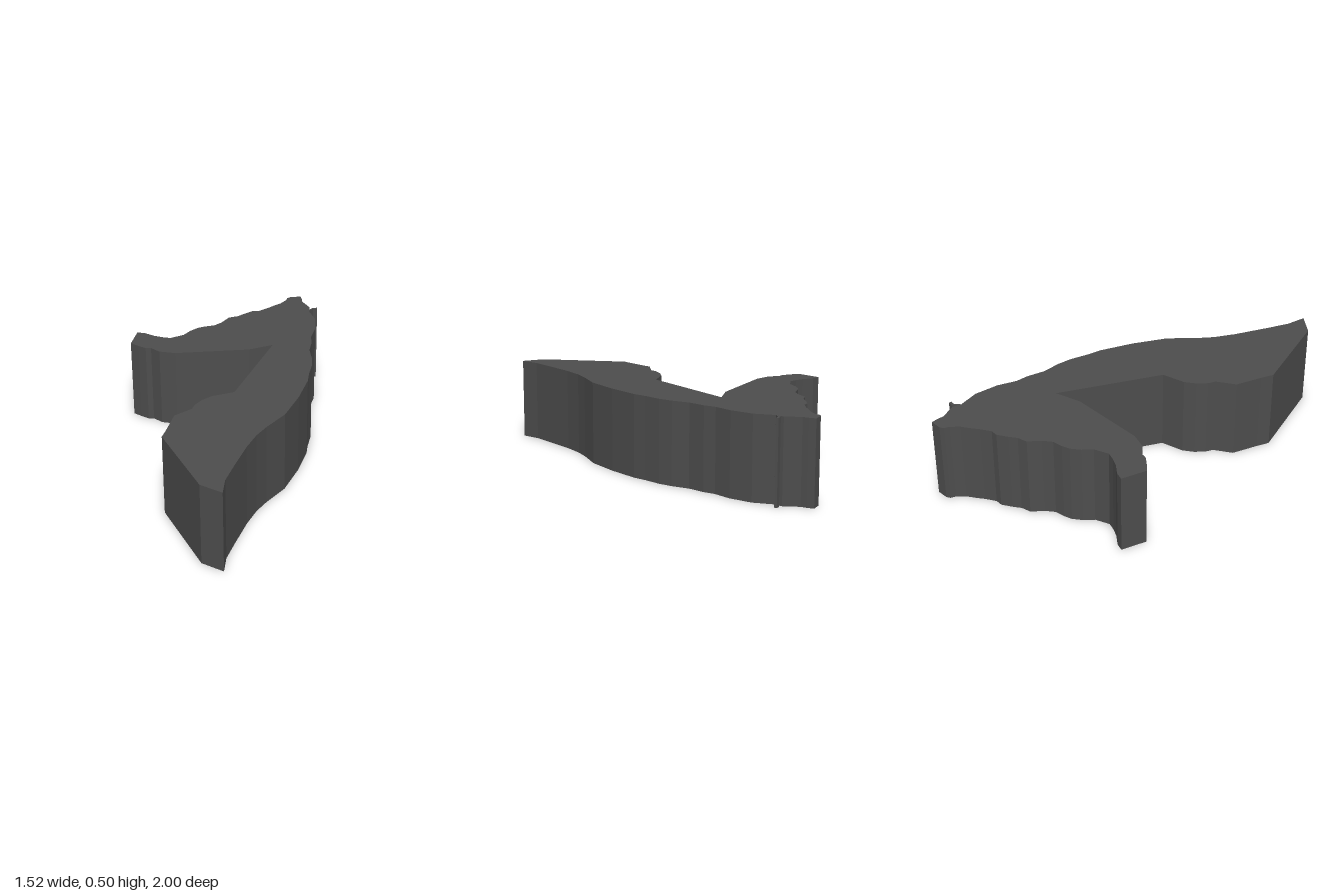
import * as THREE from 'three';

// Outline in plan as [x, z] runs, followed around the slab
const southWest = [
  [-0.68, 1], [-0.76, 0.88], [-0.76, 0.34], [-0.71, 0.28], [-0.61, 0.15], [-0.49, 0.12],
  [-0.46, 0.085], [-0.4, 0.05], [-0.33, 0.03], [-0.19, 0.04],
];
const innerNotch = [
  [0.27, -0.415], [0.11, -0.42], [-0.32, -0.565], [-0.4, -0.625], [-0.43, -0.69],
  [-0.46, -0.705], [-0.49, -0.75], [-0.52, -0.805],
];
const northCoast = [
  [-0.43, -0.93], [-0.39, -0.9], [-0.35, -0.84], [-0.31, -0.8], [-0.27, -0.77], [-0.18, -0.775],
  [-0.12, -0.81], [-0.06, -0.83], [-0.01, -0.83], [0.05, -0.82], [0.11, -0.84], [0.18, -0.885],
  [0.24, -0.88], [0.29, -0.895], [0.36, -0.91], [0.4, -0.895], [0.47, -0.91], [0.515, -0.925],
  [0.575, -0.94], [0.63, -0.97], [0.65, -0.995], [0.675, -1], [0.74, -0.98],
];
const eastSpur = [
  [0.73, -0.94], [0.715, -0.905], [0.72, -0.805], [0.705, -0.775], [0.735, -0.79],
  [0.76, -0.78], [0.755, -0.765], [0.73, -0.775], [0.69, -0.76],
];
const eastCoast = [
  [0.675, -0.635], [0.61, -0.505], [0.535, -0.415], [0.505, -0.345], [0.445, -0.255],
  [0.41, -0.15], [0.37, -0.07], [0.305, 0.02], [0.26, 0.095], [0.125, 0.25], [-0.035, 0.4],
  [-0.19, 0.485], [-0.28, 0.545], [-0.38, 0.635], [-0.525, 0.79], [-0.62, 0.895],
];

export function createModel() {
  const group = new THREE.Group();
  group.name = 'mapSlab';

  // Flat slab with straight walls
  const outline = [...southWest, ...innerNotch, ...northCoast, ...eastSpur, ...eastCoast];
  const shape = new THREE.Shape(outline.map(([x, z]) => new THREE.Vector2(x, -z)));
  const geometry = new THREE.ExtrudeGeometry(shape, { depth: 0.5, bevelEnabled: false });
  geometry.rotateX(-Math.PI / 2);

  const slab = new THREE.Mesh(geometry, new THREE.MeshStandardMaterial({ color: 0x4d4d4d }));
  slab.name = 'slab';
  group.add(slab);
  return group;
}
